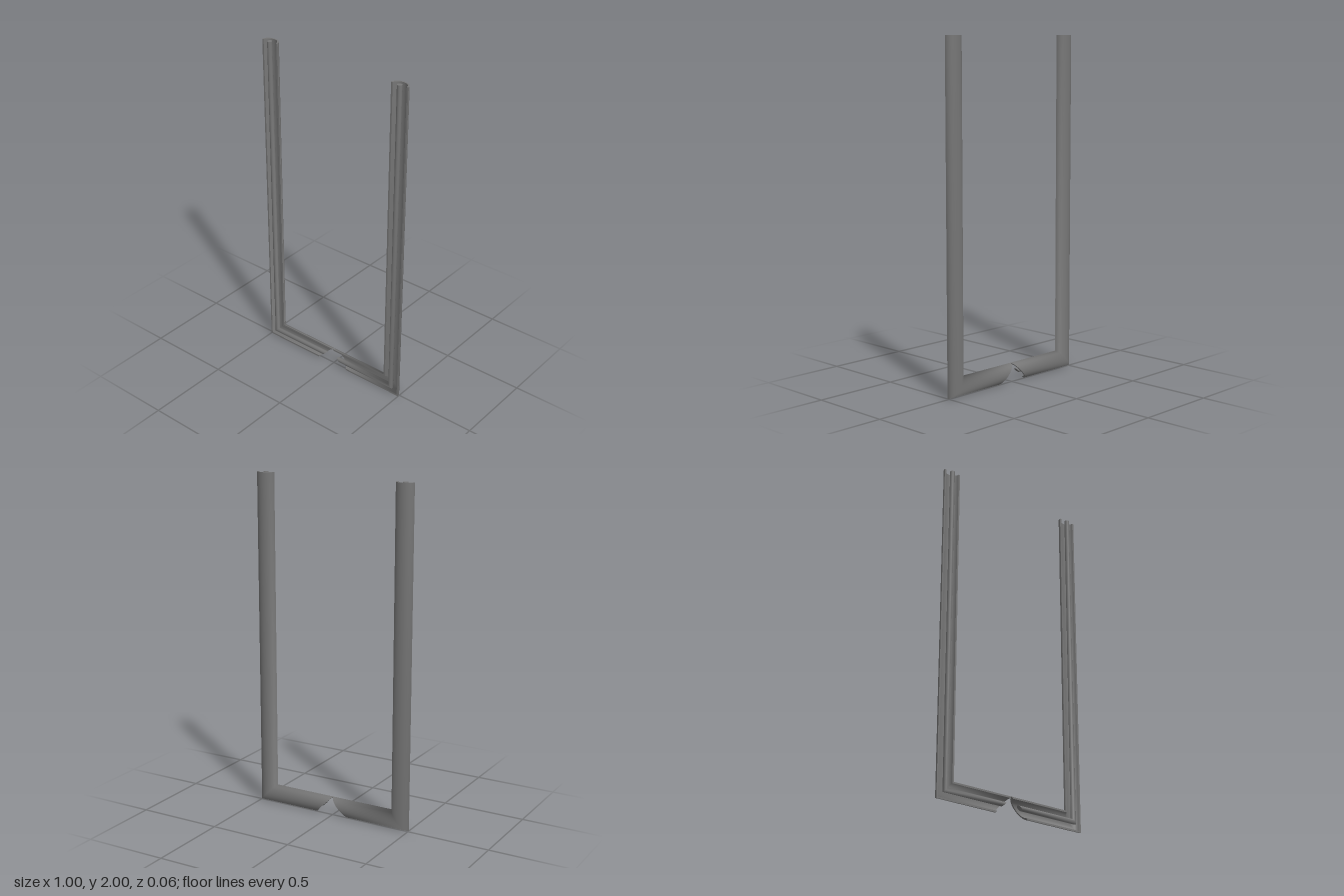
import * as THREE from 'three';

const HALF = 0.055;   // half the channel width
const CX = 0.445;     // centre line of the upright
const RIM = 0.013;    // z of the channel rims and the rod axis

// Stations of the L-shaped path: x and y for an outward offset s
const STATIONS = [
  s => [HALF + s, HALF - s],   // 45 degree cut near the middle
  s => [CX + s, HALF - s],     // mitred corner
  s => [CX + s, 2],            // square top
];

// Points on an ellipse arc as (outward offset, z)
function arc(a, b, from, to, n) {
  return Array.from({ length: n + 1 }, (_, i) => {
    const t = from + (to - from) * i / n;
    return new THREE.Vector2(a * Math.cos(t), RIM + b * Math.sin(t));
  });
}

// Sweep a counter-clockwise section, given as strips that are each smooth, along the path
function sweep(strips, side) {
  const pos = [], idx = [];
  const tri = (a, b, c) => (side > 0 ? idx.push(a, b, c) : idx.push(a, c, b));
  const addRing = (points, at) => {
    const start = pos.length / 3;
    for (const p of points) {
      const [x, y] = at(p.x);
      pos.push(side * x, y, p.y);
    }
    return start;
  };

  // Walls: smooth round the mitre, sharp between strips
  for (const strip of strips) {
    const rings = STATIONS.map(at => addRing(strip, at));
    for (let k = 0; k < rings.length - 1; k++) {
      for (let i = 0; i < strip.length - 1; i++) {
        const a = rings[k] + i, c = rings[k + 1] + i;
        tri(a, c, a + 1);
        tri(a + 1, c, c + 1);
      }
    }
  }

  // Flat end caps
  const outline = strips.flatMap(strip => strip.slice(0, -1));
  const bottom = addRing(outline, STATIONS[0]);
  const top = addRing(outline, STATIONS[2]);
  for (const [a, b, c] of THREE.ShapeUtils.triangulateShape(outline, [])) {
    tri(bottom + a, bottom + b, bottom + c);
    tri(top + a, top + c, top + b);
  }

  const geo = new THREE.BufferGeometry();
  geo.setAttribute('position', new THREE.Float32BufferAttribute(pos, 3));
  geo.setIndex(idx);
  geo.computeVertexNormals();
  return geo;
}

export function createModel() {
  const model = new THREE.Group();
  model.name = 'frame';
  const material = new THREE.MeshStandardMaterial({ color: 0x767676 });

  // Half-round trough open to the front: outer wall, rim, inner wall, rim
  const outer = arc(HALF, 0.044, Math.PI, 2 * Math.PI, 20);
  const inner = arc(0.045, 0.036, 2 * Math.PI, Math.PI, 20);
  const channel = [outer, [outer[20], inner[0]], inner, [inner[20], outer[0]]];

  // Round rod lying in the trough, seam at the back
  const rod = [arc(0.014, 0.015, -Math.PI / 2, 1.5 * Math.PI, 16)];

  for (const [side, label] of [[1, 'left'], [-1, 'right']]) {
    for (const [part, strips] of [['Channel', channel], ['Rod', rod]]) {
      const mesh = new THREE.Mesh(sweep(strips, side), material);
      mesh.name = label + part;
      model.add(mesh);
    }
  }
  return model;
}
